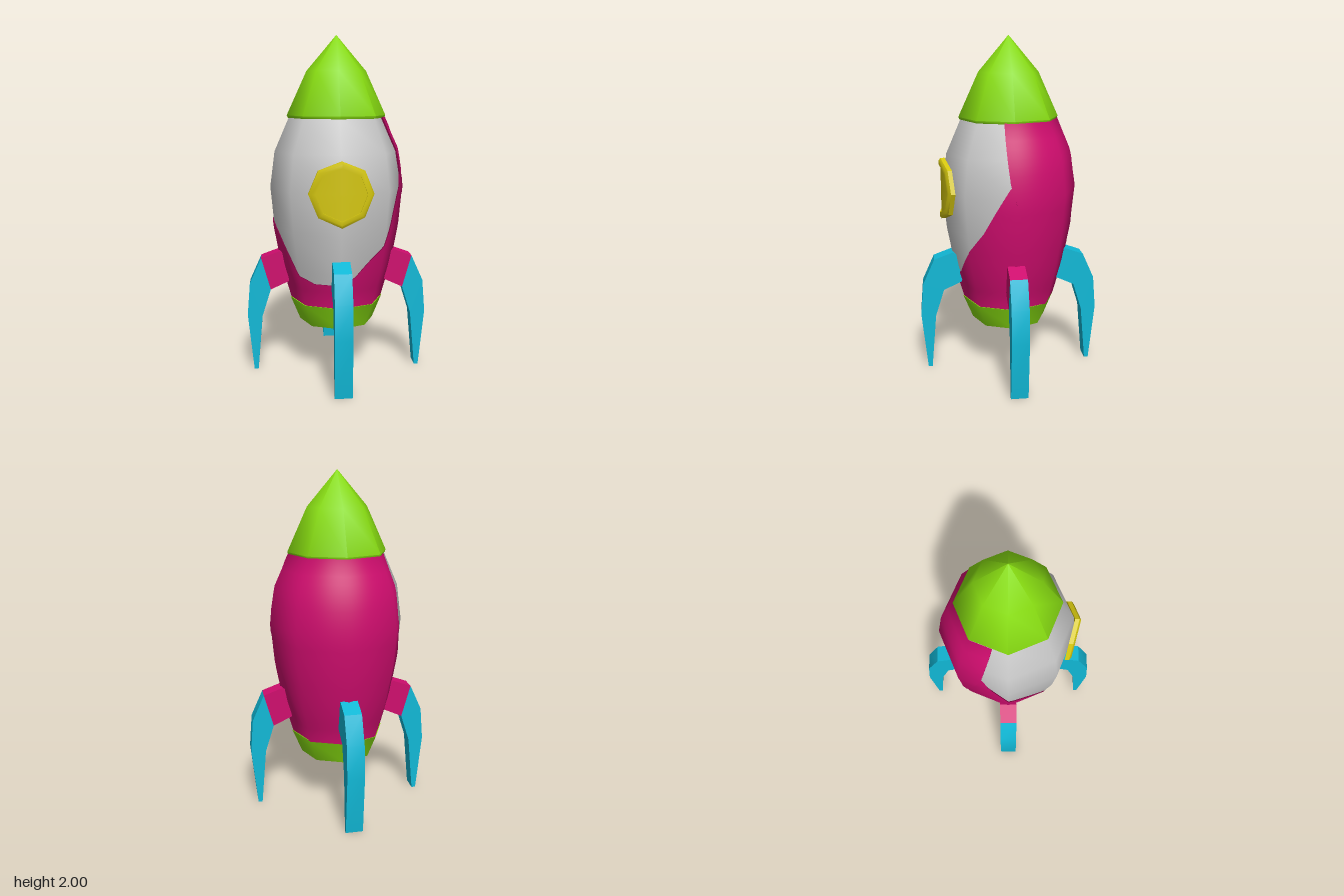
import * as THREE from 'three';
import { toCreasedNormals } from 'three/addons/utils/BufferGeometryUtils.js';

const DEG = Math.PI / 180;
const GREEN = 0x88dd11, PINK = 0xcf0d6e, CYAN = 0x11b8d6, YELLOW = 0xd4c60e, GREY = 0xcccccc;

// Hull radius by height
const HULL = [[0.44, 0.275], [0.65, 0.335], [0.88, 0.378], [1.12, 0.4], [1.33, 0.372], [1.53, 0.285]];
// Half width (degrees) of the back shell by height
const BACK = [[0.44, 35], [0.87, 65], [1.2, 80], [1.53, 87]];
// Upper edge of the lower wrap by angle from its lowest point
const WRAP = [[0, 0.585], [15, 0.585], [31, 0.63], [57, 0.78], [75, 0.92], [101, 1.2], [115, 1.2], [145, 0.9], [180, 0.9]];
const TURN = -15; // the coloured shells are twisted slightly round the hull

function lerpTable(table, t) {
  for (let i = 1; i < table.length; i++) {
    const [a, va] = table[i - 1], [b, vb] = table[i];
    if (t <= b) return va + (vb - va) * Math.max(0, (t - a) / (b - a));
  }
  return table[table.length - 1][1];
}

function mesh(name, geometry, color) {
  const material = new THREE.MeshStandardMaterial({ color, side: THREE.DoubleSide });
  const m = new THREE.Mesh(geometry, material);
  m.name = name;
  return m;
}

function lathe8(points, crease = 0.9) {
  const g = new THREE.LatheGeometry(points.map(([r, y]) => new THREE.Vector2(r, y)), 8);
  return toCreasedNormals(g, crease);
}

// Shell lying on the eight-sided hull; at(u, v) gives [degrees, y, offset]
function hullShell(cols, rows, at) {
  const pos = [], nor = [], idx = [];
  for (let j = 0; j <= rows; j++) {
    for (let i = 0; i <= cols; i++) {
      const [deg, y, offset] = at(i / cols, j / rows);
      const a = deg * DEG, eighth = Math.PI / 4;
      const local = a - Math.floor(a / eighth) * eighth - eighth / 2;
      const r = (lerpTable(HULL, y) + offset) * Math.cos(eighth / 2) / Math.cos(local);
      pos.push(r * Math.sin(a), y, r * Math.cos(a));
      const slope = (lerpTable(HULL, y + 0.1) - lerpTable(HULL, y - 0.1)) / 0.2;
      const n = new THREE.Vector3(Math.sin(a), -slope, Math.cos(a)).normalize();
      nor.push(n.x, n.y, n.z);
      if (i < cols && j < rows) {
        const p = j * (cols + 1) + i, q = p + cols + 1;
        idx.push(p, p + 1, q, p + 1, q + 1, q);
      }
    }
  }
  const g = new THREE.BufferGeometry();
  g.setAttribute('position', new THREE.Float32BufferAttribute(pos, 3));
  g.setAttribute('normal', new THREE.Float32BufferAttribute(nor, 3));
  g.setIndex(idx);
  return g;
}

// Flat outline in the (radius, height) plane, given a width across
function slab(points, width) {
  const shape = new THREE.Shape(points.map(([x, y]) => new THREE.Vector2(x, y)));
  const g = new THREE.ExtrudeGeometry(shape, { depth: width, bevelEnabled: false });
  g.translate(0, 0, -width / 2);
  return toCreasedNormals(g, 0.7);
}

// Fold a flat piece backwards along x = 0 so it hugs the hull's front edge
function fold(g) {
  const p = g.attributes.position;
  for (let i = 0; i < p.count; i++) p.setZ(i, p.getZ(i) - 0.28 * Math.abs(p.getX(i)));
  return g;
}

export function createModel() {
  const rocket = new THREE.Group();
  rocket.name = 'rocket';

  // Hull and the two coloured shells over it
  rocket.add(mesh('hull', lathe8(HULL.map(([y, r]) => [r - 0.006, y])), GREY));
  rocket.add(mesh('lowerWrap', hullShell(120, 16, (u, v) => {
    const d = u * 360 - 180;
    const top = lerpTable(WRAP, Math.abs(d));
    return [d + TURN, 0.44 + (top - 0.44) * Math.min(1, v * 16 / 15), v === 1 ? -0.01 : 0];
  }), PINK));
  rocket.add(mesh('backShell', hullShell(64, 24, (u, v) => {
    const y = 0.44 + 1.09 * v;
    const s = THREE.MathUtils.clamp((u * 64 - 1) / 62, 0, 1) * 2 - 1; // outer columns fold inwards
    return [180 + TURN + s * lerpTable(BACK, y), y, u === 0 || u === 1 ? -0.01 : 0.005];
  }), PINK));

  // Nose cone and hollow nozzle
  rocket.add(mesh('noseCone', lathe8([[0, 1.525], [0.285, 1.525], [0.292, 1.54], [0.175, 1.795], [0, 2]]), GREEN));
  rocket.add(mesh('nozzle', lathe8([
    [0, 0.38], [0.13, 0.38], [0.17, 0.3], [0.222, 0.3], [0.28, 0.44], [0, 0.44],
  ]), GREEN));

  // Folded octagonal window
  const porthole = new THREE.Group();
  porthole.name = 'porthole';
  const ring = new THREE.LatheGeometry([
    [0.145, 0], [0.145, -0.035], [0.183, -0.035], [0.183, -0.01], [0.168, 0], [0.145, 0],
  ].map(([r, y]) => new THREE.Vector2(r, y)), 8).rotateX(Math.PI / 2);
  porthole.add(mesh('windowFrame', toCreasedNormals(fold(ring), 0.6), YELLOW));
  const pane = mesh('windowPane', fold(new THREE.CircleGeometry(0.15, 8)), YELLOW);
  pane.geometry.computeVertexNormals();
  pane.position.z = -0.01;
  porthole.add(pane);
  porthole.position.set(0, 1.12, 0.412);
  rocket.add(porthole);

  // Four legs: pink brackets at the sides, cyan at front and back
  const bracket = slab([[0.29, 0.55], [0.4, 0.5], [0.455, 0.695], [0.345, 0.735], [0.27, 0.7]], 0.1);
  const strut = slab([
    [0.4, 0.5], [0.452, 0.335], [0.482, 0], [0.506, 0], [0.541, 0.345], [0.525, 0.54], [0.455, 0.695],
  ], 0.1);
  for (const [i, name] of ['leftLeg', 'backLeg', 'rightLeg', 'frontLeg'].entries()) {
    const leg = new THREE.Group();
    leg.name = name;
    leg.add(mesh('legBracket', bracket, i % 2 ? CYAN : PINK), mesh('legStrut', strut, CYAN));
    leg.rotation.y = i * Math.PI / 2;
    rocket.add(leg);
  }
  return rocket;
}
